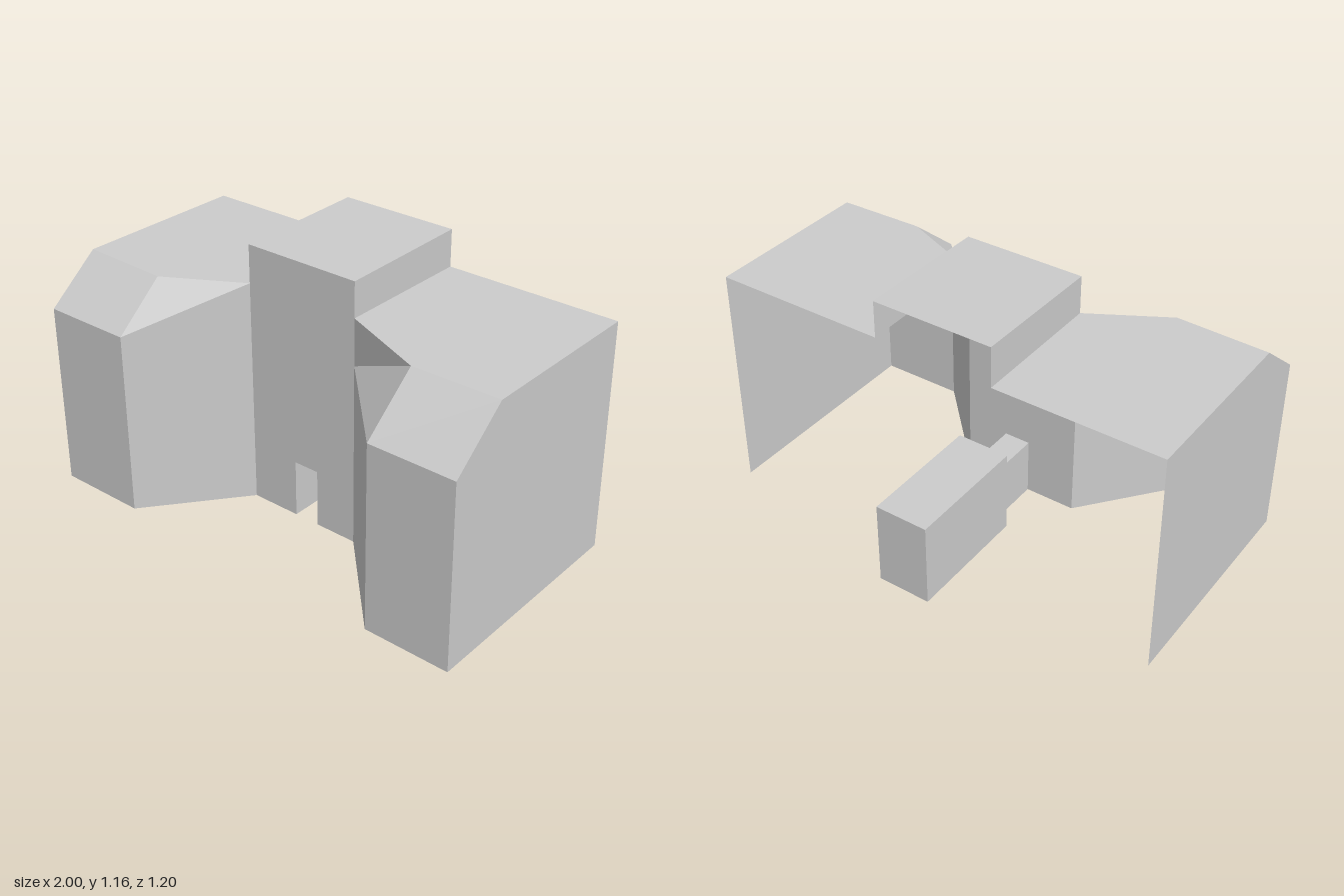
import * as THREE from 'three';

const material = new THREE.MeshStandardMaterial({ color: 0xcccccc, flatShading: true, side: THREE.DoubleSide });
const BACK = -0.4, FRONT = 0.6, RECESS = 0.2, EAVES = 0.8;
const TOWER = [-0.283, 0.243];   // x extent of the centre tower
const DOOR = [-0.06, 0.055];     // x extent of every doorway
const DOOR_TOP = 0.253;

function addMesh(group, name, geometry) {
  const mesh = new THREE.Mesh(geometry, material);
  mesh.name = name;
  group.add(mesh);
  return mesh;
}

// Flat convex panel, corners counter-clockwise from outside
function panel(group, name, corners, flip = false) {
  const c = flip ? [...corners].reverse() : corners;
  const positions = [];
  for (let i = 1; i < c.length - 1; i++) positions.push(...c[0], ...c[i], ...c[i + 1]);
  const geometry = new THREE.BufferGeometry();
  geometry.setAttribute('position', new THREE.Float32BufferAttribute(positions, 3));
  geometry.computeVertexNormals();
  addMesh(group, name, geometry);
}

// Upright wall facing z with a doorway cut into its foot
function doorWall(group, name, [x0, x1], height, z) {
  const outline = [
    [x0, 0], [DOOR[0], 0], [DOOR[0], DOOR_TOP], [DOOR[1], DOOR_TOP],
    [DOOR[1], 0], [x1, 0], [x1, height], [x0, height],
  ].map(([x, y]) => new THREE.Vector2(x, y));
  addMesh(group, name, new THREE.ShapeGeometry(new THREE.Shape(outline))).position.z = z;
}

// Two side walls and a roof, open at both ends and below
function passage(group, name, [x0, x1], height, z0, z1) {
  panel(group, name + 'RightWall', [[x0, 0, z0], [x0, 0, z1], [x0, height, z1], [x0, height, z0]]);
  panel(group, name + 'LeftWall', [[x1, 0, z1], [x1, 0, z0], [x1, height, z0], [x1, height, z1]]);
  panel(group, name + 'Roof', [[x0, height, z0], [x0, height, z1], [x1, height, z1], [x1, height, z0]]);
}

// Side wing, open at the back and below, with a chamfered front eave
function makeWing(name, { outer, corner, inner, top, outerZ, cornerZ }) {
  const wing = new THREE.Group();
  wing.name = name;
  const add = (part, corners) => panel(wing, part, corners, outer < 0);
  add('wingRoof', [[outer, top, BACK], [inner, top, BACK], [inner, top, RECESS], [corner, top, cornerZ], [outer, top, outerZ]]);
  add('wingSideWall', [[outer, 0, FRONT], [outer, 0, BACK], [outer, top, BACK], [outer, top, outerZ], [outer, EAVES, FRONT]]);
  add('wingFrontWall', [[corner, 0, FRONT], [outer, 0, FRONT], [outer, EAVES, FRONT], [corner, EAVES, FRONT]]);
  add('wingFrontSlope', [[corner, EAVES, FRONT], [outer, EAVES, FRONT], [outer, top, outerZ], [corner, top, cornerZ]]);
  add('wingAngledWall', [[inner, 0, RECESS], [corner, 0, FRONT], [corner, EAVES, FRONT], [inner, EAVES, RECESS]]);
  add('wingAngledSlope', [[inner, EAVES, RECESS], [corner, EAVES, FRONT], [corner, top, cornerZ], [inner, top, RECESS]]);
  return wing;
}

// Centre tower: front wall with a doorway, roof, and sides above the wings
function makeTower(rightBase, leftBase) {
  const tower = new THREE.Group();
  tower.name = 'tower';
  const [x0, x1] = TOWER, frontTop = 1.15, backTop = 1.16;
  doorWall(tower, 'towerFrontWall', TOWER, frontTop, RECESS);
  panel(tower, 'towerRoof', [[x0, backTop, BACK], [x0, frontTop, RECESS], [x1, frontTop, RECESS], [x1, backTop, BACK]]);
  panel(tower, 'towerRightSide', [[x0, rightBase, BACK], [x0, rightBase, RECESS], [x0, frontTop, RECESS], [x0, backTop, BACK]]);
  panel(tower, 'towerLeftSide', [[x1, leftBase, RECESS], [x1, leftBase, BACK], [x1, backTop, BACK], [x1, frontTop, RECESS]]);
  return tower;
}

// Entrance corridor leading to two rooms in a row
function makeRooms() {
  const rooms = new THREE.Group();
  rooms.name = 'rooms';
  const width = [-0.12, 0.115], height = 0.375;
  const front = -0.05, middle = -0.335, rear = -0.6;
  passage(rooms, 'corridor', DOOR, DOOR_TOP, front, RECESS);
  passage(rooms, 'frontRoom', width, height, middle, front);
  passage(rooms, 'rearRoom', width, height, rear, middle);
  doorWall(rooms, 'frontRoomDoorWall', width, height, front);
  doorWall(rooms, 'rearRoomDoorWall', width, height, middle);
  panel(rooms, 'rearRoomBackWall', [[width[1], 0, rear], [width[0], 0, rear], [width[0], height, rear], [width[1], height, rear]]);
  return rooms;
}

export function createModel() {
  const model = new THREE.Group();
  model.name = 'building';
  const right = { outer: -1, corner: -0.605, inner: TOWER[0], top: 0.985, outerZ: 0.37, cornerZ: 0.385 };
  const left = { outer: 1, corner: 0.625, inner: TOWER[1], top: 1, outerZ: 0.355, cornerZ: 0.36 };
  model.add(
    makeWing('rightWing', right),
    makeWing('leftWing', left),
    makeTower(right.top, left.top),
    makeRooms(),
  );
  return model;
}
